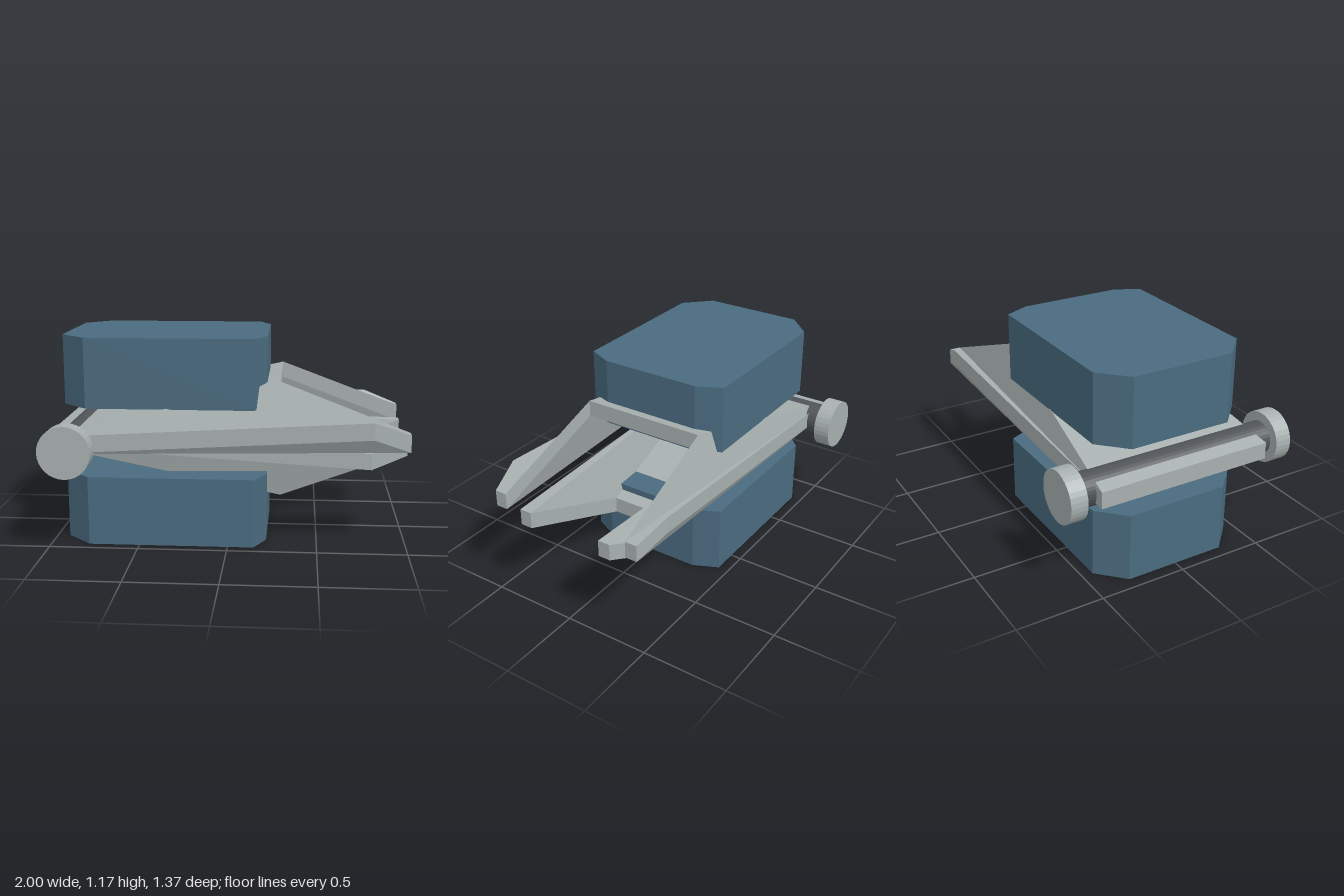
import * as THREE from 'three';

const MID = 0.588; // height of the pivot axis

const make = (name, hex) => {
  const m = new THREE.MeshStandardMaterial({ color: hex, flatShading: true });
  m.name = name;
  return m;
};

// Slanted sheet of even thickness with two forked arms; dir = 1 rises, -1 falls
function jawGeometry(inset, dir) {
  const t = 0.095;
  // one side of the outline: x, height above the pivot axis, z
  const side = [
    [-1, 0.047, 0.512],    // rear corner
    [0.8, 0.152, 0.512],   // outer shoulder of the arm
    [1, 0.077, 0.465],     // tip, outer
    [1, 0.077, 0.395],     // tip, inner
    [0.29, 0.347, 0.368],  // raised corner of the plate
  ].map(([x, y, z]) => [x, y, z - inset]);
  const outline = [...side, ...side.slice().reverse().map(([x, y, z]) => [x, y, -z])];
  const n = outline.length;
  const top = outline.map(([x, y, z]) => new THREE.Vector3(x, MID + dir * y, z));
  const bottom = outline.map(([x, y, z]) => new THREE.Vector3(x, MID + dir * (y - t), z));

  const pos = [];
  const tri = (a, b, c) => {
    for (const v of dir > 0 ? [a, b, c] : [a, c, b]) pos.push(v.x, v.y, v.z);
  };
  const faces = [[0, 1, 2], [0, 2, 3], [0, 3, 4], [0, 4, 5], [0, 5, 9], [9, 5, 6], [9, 6, 7], [9, 7, 8]];
  for (const [a, b, c] of faces) {
    tri(top[a], top[b], top[c]);
    tri(bottom[a], bottom[c], bottom[b]);
  }
  for (let i = 0; i < n; i++) {
    const j = (i + 1) % n;
    tri(top[i], bottom[i], bottom[j]);
    tri(top[i], bottom[j], top[j]);
  }
  const g = new THREE.BufferGeometry();
  g.setAttribute('position', new THREE.Float32BufferAttribute(pos, 3));
  g.computeVertexNormals();
  return g;
}

export function createModel() {
  const group = new THREE.Group();
  const grey = make('light grey metal', 0xa8b0b0);
  const blue = make('slate blue', 0x4a6b7f);
  const dark = make('dark grey metal', 0x505458);

  const add = (name, geometry, material, x = 0, y = 0, z = 0) => {
    const mesh = new THREE.Mesh(geometry, material);
    mesh.name = name;
    mesh.position.set(x, y, z);
    group.add(mesh);
    return mesh;
  };

  // Two interlocking jaws, the lower one narrower
  add('upperJaw', jawGeometry(0, 1), grey);
  add('lowerJaw', jawGeometry(0.17, -1), grey);

  // Blocks with chamfered corners
  const shape = new THREE.Shape([
    [-0.93, -0.295], [-0.785, -0.438], [0.147, -0.438], [0.214, -0.295],
    [0.214, 0.295], [0.147, 0.438], [-0.785, 0.438], [-0.93, 0.295],
  ].map(([x, y]) => new THREE.Vector2(x, y)));
  const block = new THREE.ExtrudeGeometry(shape, { depth: 0.392, bevelEnabled: false });
  block.rotateX(-Math.PI / 2);
  add('lowerBlock', block, blue);
  add('upperBlock', block, blue, 0, 0.783, 0);

  // Pivot axle with an end cap on each side
  const axle = new THREE.CylinderGeometry(0.093, 0.093, 1.18, 32).rotateX(Math.PI / 2);
  add('axle', axle, dark, -0.856, MID, 0);
  const cap = new THREE.CylinderGeometry(0.145, 0.145, 0.096, 32).rotateX(Math.PI / 2);
  for (const s of [1, -1]) add(s > 0 ? 'frontCap' : 'backCap', cap, grey, -0.856, MID, s * 0.635);

  return group;
}
